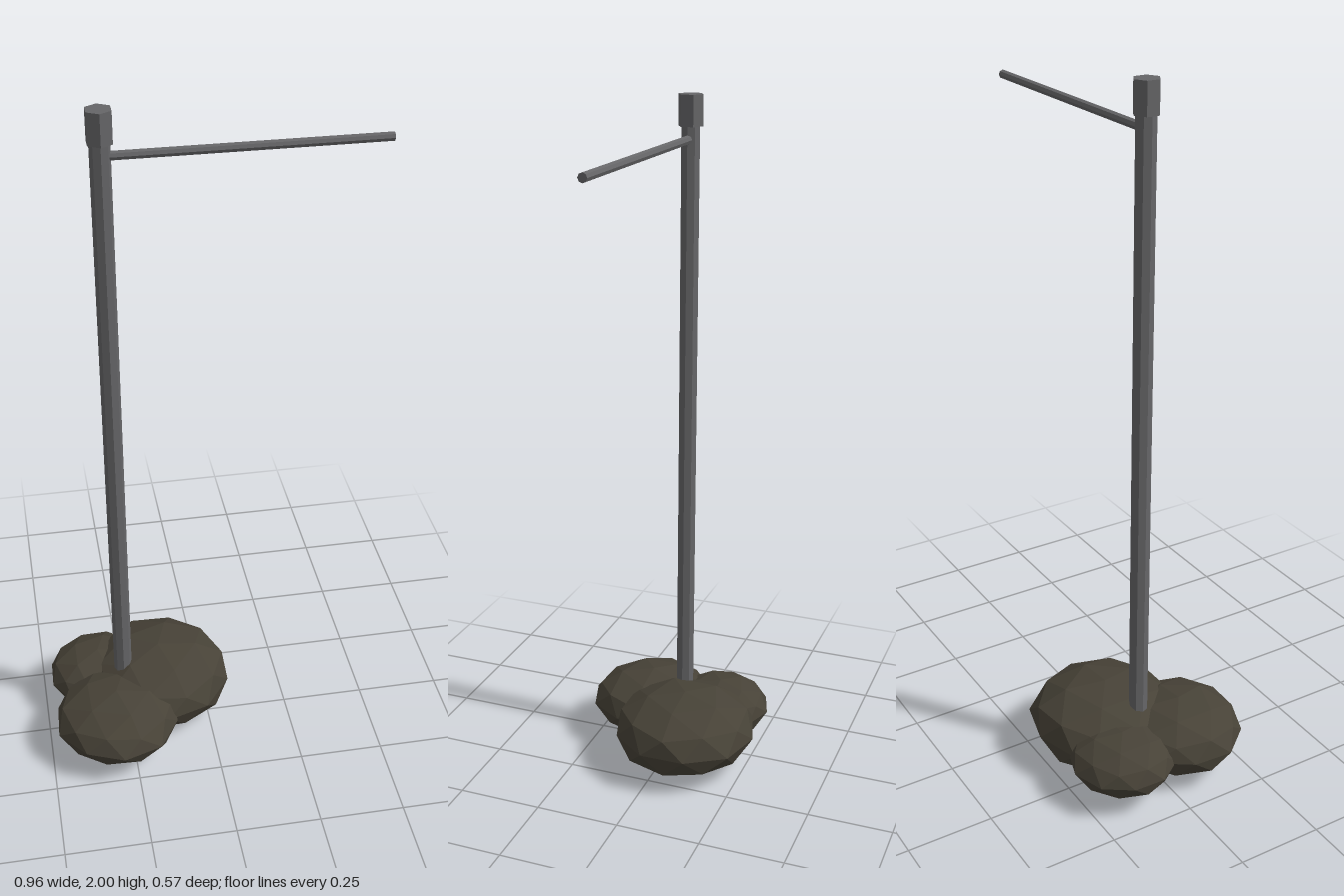
import * as THREE from 'three';

const metal = new THREE.MeshStandardMaterial({ color: 0x666668 });
metal.name = 'grey metal';
const stone = new THREE.MeshStandardMaterial({ color: 0x474237 });
stone.name = 'brown stone';

// Repeatable small offset that is equal for coincident corners
function noise(x, y, z, seed) {
  const r = (v) => Math.round(v * 100);
  const s = Math.sin(r(x) * 12.9898 + r(y) * 78.233 + r(z) * 37.719 + seed * 4.1) * 43758.5453;
  return s - Math.floor(s) - 0.5;
}

// Flattened, slightly irregular faceted boulder with its pole upright
function boulder(name, [x, y, z], [rx, ry, rz], seed) {
  const geo = new THREE.IcosahedronGeometry(1, 1);
  geo.rotateZ(-Math.atan(2 / (1 + Math.sqrt(5))));
  const p = geo.attributes.position;
  for (let i = 0; i < p.count; i++) {
    const k = 1 + 0.05 * noise(p.getX(i), p.getY(i), p.getZ(i), seed);
    p.setXYZ(i, p.getX(i) * rx * k, p.getY(i) * ry * k, p.getZ(i) * rz * k);
  }
  geo.computeVertexNormals(); // unshared corners give flat facets
  const mesh = new THREE.Mesh(geo, stone);
  mesh.name = name;
  mesh.position.set(x, y, z);
  return mesh;
}

// Faceted bar of the given length, upright by default
function bar(name, radius, length, sides) {
  const geo = new THREE.CylinderGeometry(radius, radius, length, sides).toNonIndexed();
  geo.computeVertexNormals();
  const mesh = new THREE.Mesh(geo, metal);
  mesh.name = name;
  return mesh;
}

export function createModel() {
  const model = new THREE.Group();
  model.name = 'signpost';
  const px = -0.26, pz = -0.025;

  // Post rising out of the boulders
  const post = bar('post', 0.027, 1.82, 8);
  post.position.set(px, 1.01, pz);

  // Hexagonal cap
  const cap = bar('postCap', 0.036, 0.085, 6);
  cap.position.set(px, 1.9575, pz);

  // Horizontal arm
  const arm = bar('arm', 0.0125, 0.74, 8);
  arm.rotation.z = Math.PI / 2;
  arm.position.set(0.11, 1.88, pz);

  model.add(
    post, cap, arm,
    boulder('largeBoulder', [-0.145, 0.123, -0.066], [0.222, 0.121, 0.219], 1),
    boulder('frontBoulder', [-0.295, 0.118, 0.092], [0.19, 0.099, 0.188], 2),
    boulder('backBoulder', [-0.33, 0.115, -0.12], [0.155, 0.084, 0.153], 3),
  );
  return model;
}
